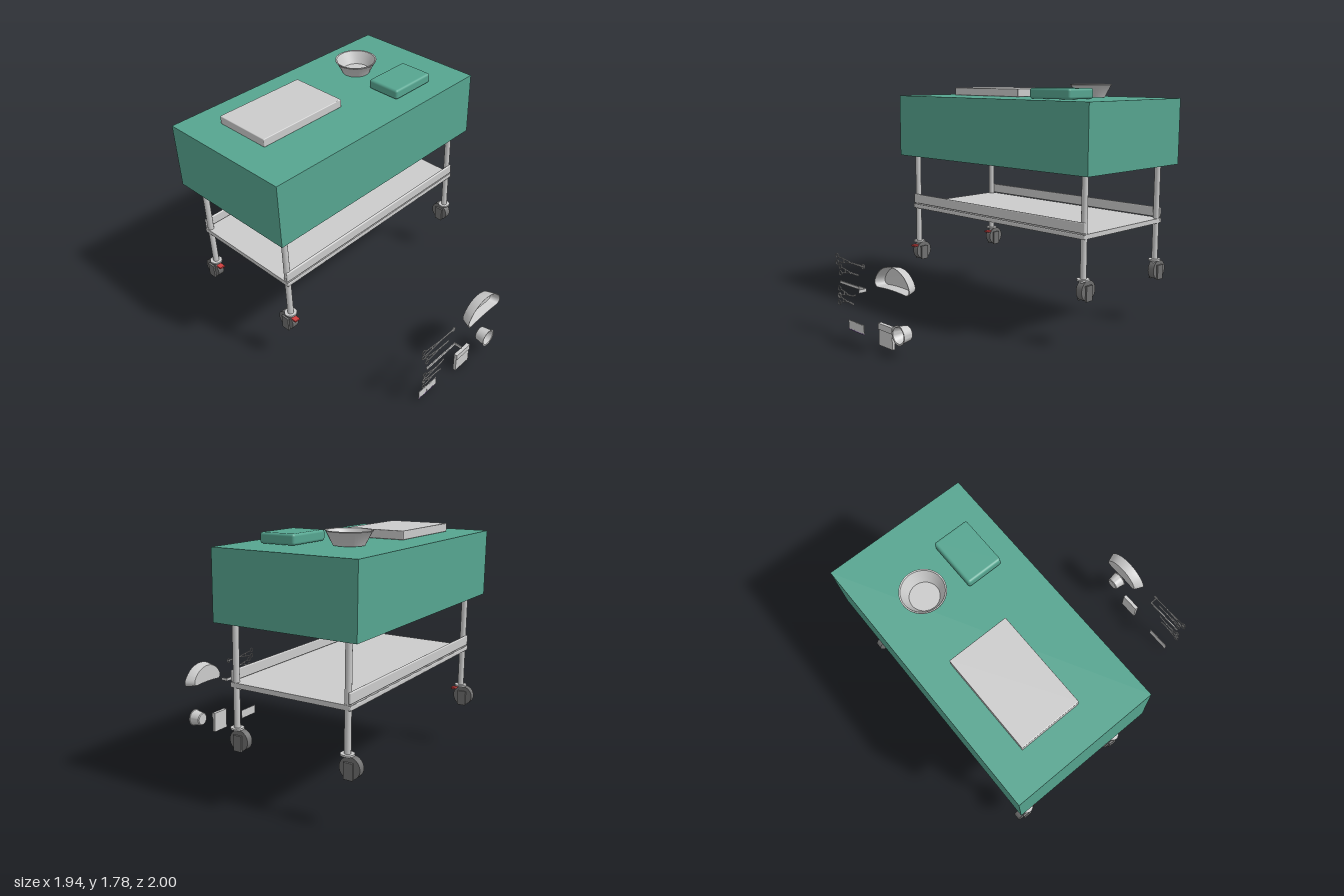
import * as THREE from 'three';
import { toCreasedNormals } from 'three/addons/utils/BufferGeometryUtils.js';
import { RoundedBoxGeometry } from 'three/addons/geometries/RoundedBoxGeometry.js';

const mat = (color = 0xcccccc, side = THREE.FrontSide) => new THREE.MeshStandardMaterial({ color, side });
const grey = mat(), greyThin = mat(0xcccccc, THREE.DoubleSide);
const green = mat(0x56a590, THREE.DoubleSide), dark = mat(0x707070), red = mat(0xd04040);

function add(parent, name, geometry, material, x = 0, y = 0, z = 0) {
  const mesh = new THREE.Mesh(geometry, material);
  mesh.name = name;
  mesh.position.set(x, y, z);
  parent.add(mesh);
  return mesh;
}

// Box given by its lower and upper limits, optionally rounded
function block(parent, name, material, [x0, x1], [y0, y1], [z0, z1], r = 0) {
  const s = [x1 - x0, y1 - y0, z1 - z0];
  const geo = r ? new RoundedBoxGeometry(...s, 3, r) : new THREE.BoxGeometry(...s);
  return add(parent, name, geo, material, (x0 + x1) / 2, (y0 + y1) / 2, (z0 + z1) / 2);
}

function group(parent, name, x = 0, y = 0, z = 0) {
  const g = new THREE.Group();
  g.name = name;
  g.position.set(x, y, z);
  parent.add(g);
  return g;
}

function rod(parent, name, points, r = 0.004) {
  const curve = new THREE.CatmullRomCurve3(points.map(([x, y]) => new THREE.Vector3(x, y, 0)));
  return add(parent, name, new THREE.TubeGeometry(curve, 20, r, 6), grey);
}

function lathe(points) {
  const geo = new THREE.LatheGeometry(points.map(p => new THREE.Vector2(...p)), 40);
  return toCreasedNormals(geo, 0.6);
}

// Skin through scaled copies of an outline; each section is [scale, z]
function loft(outline, sections) {
  const pos = [], index = [], n = outline.length;
  for (const [s, z] of sections) for (const p of outline) pos.push(p.x * s, p.y * s, z);
  for (let k = 0; k < sections.length - 1; k++)
    for (let i = 0; i < n; i++) {
      const a = k * n + i, b = k * n + (i + 1) % n;
      index.push(a, b, b + n, a, b + n, a + n);
    }
  const geo = new THREE.BufferGeometry();
  geo.setAttribute('position', new THREE.Float32BufferAttribute(pos, 3));
  geo.setIndex(index);
  return toCreasedNormals(geo, 0.6);
}

// Ring-handled instrument: two crossing arms from the finger rings to the tip
function forceps(parent, name, x, yTop, yBottom, tipX, tipY, bend = 0, loopTip = false) {
  const g = group(parent, name, 0, 0, 0.94);
  const mid = (yTop + yBottom) / 2, len = tipX - x;
  for (const [y, side] of [[yTop, 1], [yBottom, -1]]) {
    add(g, 'fingerRing', new THREE.TorusGeometry(0.017, 0.0035, 6, 20), grey, x, y, 0);
    rod(g, 'arm', [
      [x + 0.016, y - side * 0.005],
      [x + len * 0.3, mid + side * 0.012],
      [x + len * 0.58, mid + bend * 0.2],
      [x + len * 0.8, mid + (tipY - mid) * 0.45 + bend * 0.3 - side * 0.003],
      [tipX - (loopTip ? 0.018 : 0), tipY - side * 0.002]]);
    block(g, 'ratchet', grey, [x + len * 0.25, x + len * 0.25 + 0.008],
      side > 0 ? [mid, mid + 0.014] : [mid - 0.014, mid], [-0.003, 0.003]);
  }
  const pivot = add(g, 'pivot', new THREE.CylinderGeometry(0.006, 0.006, 0.011, 12), grey, x + len * 0.58, mid + bend * 0.2, 0);
  pivot.rotation.x = Math.PI / 2;
  if (loopTip) {
    add(g, 'tipRing', new THREE.TorusGeometry(0.016, 0.004, 6, 20), grey, tipX, tipY, 0);
    block(g, 'tipBar', grey, [tipX - 0.016, tipX + 0.016], [tipY - 0.005, tipY + 0.005], [-0.003, 0.003]);
  }
}

function caster(parent, x, z, brake) {
  const g = group(parent, 'caster', x, 0, z);
  add(g, 'casterFlange', new THREE.CylinderGeometry(0.045, 0.045, 0.012, 24), grey, 0, 0.485, 0);
  add(g, 'casterStem', new THREE.CylinderGeometry(0.02, 0.02, 0.05, 16), grey, 0, 0.455, 0);
  const wheel = add(g, 'wheel', new THREE.CylinderGeometry(0.073, 0.073, 0.05, 32), dark, 0, 0.407, -0.028);
  wheel.rotation.z = Math.PI / 2;
  for (const s of [-1, 1])
    add(g, 'forkPlate', new THREE.BoxGeometry(0.012, 0.11, 0.065), dark, s * 0.033, 0.39, -0.025);
  block(g, 'forkBridge', dark, [-0.039, 0.039], [0.43, 0.445], [-0.055, 0.008]);
  if (brake) block(g, 'brakeLever', red, [-0.021, 0.021], [0.446, 0.458], [0.01, 0.07]);
}

export function createModel() {
  const model = new THREE.Group();
  model.name = 'instrumentTable';

  // Cloth: a box without its underside
  const cloth = new THREE.BoxGeometry(1.94, 0.48, 1.05);
  cloth.setIndex(Array.from(cloth.index.array).filter((_, i) => i < 18 || i >= 24));
  cloth.clearGroups();
  add(model, 'drape', cloth, green, 0, 1.44, -0.475);

  // Table frame
  const table = group(model, 'table');
  block(table, 'tableTop', grey, [-0.91, 0.91], [1.635, 1.672], [-0.93, -0.02]);
  block(table, 'shelf', grey, [-0.895, 0.895], [0.766, 0.8], [-0.92, -0.02]);
  for (const z of [-0.05, -0.89]) {
    const out = z > -0.4 ? 1 : -1;
    const railZ = z + out * 0.021;
    block(table, 'shelfRail', grey, [-0.895, 0.895], [0.805, 0.88], [railZ - 0.009, railZ + 0.009], 0.008);
    block(table, 'shelfEdge', grey, [-0.897, 0.897], [0.766, 0.797], [railZ - 0.011, railZ + 0.011], 0.008);
    for (const x of [-0.87, 0.87]) {
      add(table, 'leg', new THREE.CylinderGeometry(0.022, 0.022, 1.17, 20), grey, x, 1.065, z);
      caster(table, x, z, x < 0);
    }
  }

  // Things lying on the cloth
  block(model, 'tray', grey, [-0.73, -0.02], [1.681, 1.742], [-0.778, -0.333], 0.006);
  block(model, 'foldedPack', green, [0.305, 0.675], [1.683, 1.757], [-0.37, -0.105], 0.018);
  add(model, 'bowl', lathe([[0, 0], [0.103, 0], [0.147, 0.086], [0.153, 0.09], [0.153, 0.096],
    [0.143, 0.094], [0.1, 0.008], [0, 0.008]]), greyThin, 0.44, 1.684, -0.63);

  // Ring-handled instruments
  const tools = group(model, 'instruments');
  forceps(tools, 'spongeForceps', -0.585, 0.568, 0.52, -0.268, 0.543, 0, true);
  forceps(tools, 'straightForceps', -0.548, 0.495, 0.447, -0.32, 0.47);
  forceps(tools, 'curvedForceps', -0.566, 0.33, 0.282, -0.36, 0.32, -0.015);
  forceps(tools, 'curvedScissors', -0.572, 0.274, 0.224, -0.39, 0.244, 0.012);

  // Retractor with a forward hook
  const retractor = group(tools, 'retractor');
  block(retractor, 'retractorHandle', grey, [-0.553, -0.32], [0.372, 0.391], [0.938, 0.946]);
  block(retractor, 'retractorBlade', grey, [-0.32, -0.24], [0.37, 0.394], [0.938, 0.944]);
  block(retractor, 'retractorHook', grey, [-0.244, -0.239], [0.37, 0.394], [0.938, 1]);

  // Kidney dish, open to the front
  const outline = new THREE.Shape();
  outline.moveTo(-0.15, -0.083);
  outline.quadraticCurveTo(0, -0.068, 0.15, -0.083);
  outline.bezierCurveTo(0.185, -0.083, 0.195, -0.062, 0.185, -0.03);
  outline.bezierCurveTo(0.145, 0.05, 0.07, 0.083, 0, 0.083);
  outline.bezierCurveTo(-0.07, 0.083, -0.145, 0.05, -0.185, -0.03);
  outline.bezierCurveTo(-0.195, -0.062, -0.185, -0.083, -0.15, -0.083);
  const dish = loft(outline.getSpacedPoints(60).slice(0, -1),
    [[0.001, 0], [0.83, 0], [0.86, 0.006], [1, 0.075], [0.965, 0.075], [0.83, 0.01], [0.001, 0.006]]);
  add(model, 'kidneyDish', dish, greyThin, 0.073, 0.52, 0.882);

  // Cup, open to the front
  const cup = add(model, 'cup', lathe([[0, 0], [0.045, 0], [0.052, 0.006], [0.063, 0.08], [0.068, 0.082],
    [0.068, 0.086], [0.057, 0.084], [0.048, 0.01], [0, 0.006]]), greyThin, 0.147, 0.155, 0.882);
  cup.rotation.x = Math.PI / 2;

  // Gauze packet with a folded flap
  block(model, 'gauzePad', grey, [-0.153, -0.002], [0, 0.16], [0.882, 0.904]);
  block(model, 'gauzeFlap', grey, [-0.153, -0.002], [0.115, 0.16], [0.904, 0.91]);

  // Flat suture packet
  block(model, 'packet', grey, [-0.548, -0.356], [0.015, 0.087], [0.88, 0.884]);
  block(model, 'packetWindow', mat(0xe6e6e6), [-0.46, -0.36], [0.025, 0.083], [0.884, 0.885]);
  block(model, 'packetStripe', mat(0x9070b0), [-0.548, -0.356], [0.015, 0.022], [0.884, 0.885]);
  return model;
}
